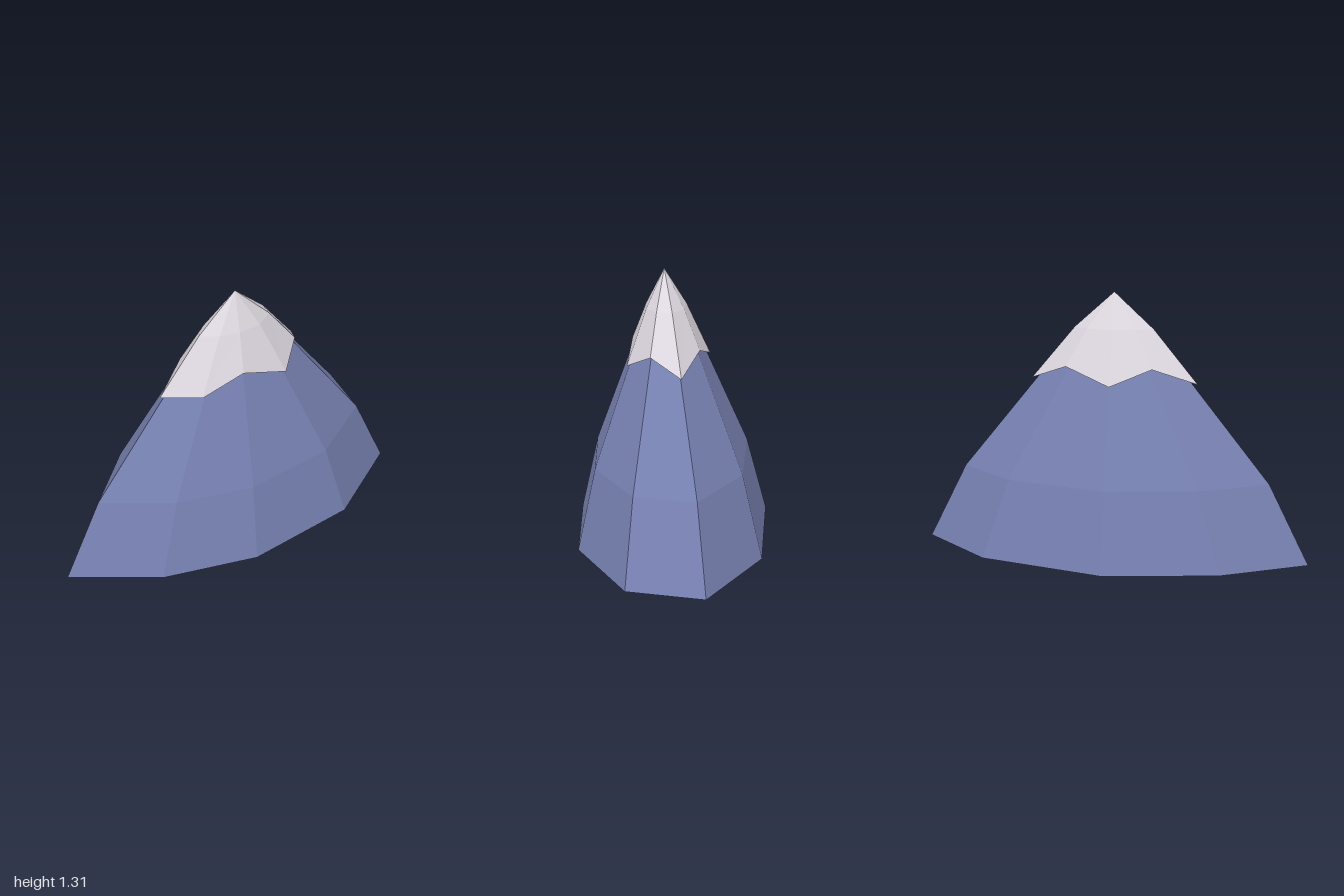
import * as THREE from 'three';

// Nine corners of the mountain foot as [x, z], from the right end round the front
const FOOT = [
  [-1, 0.02], [-0.62, 0.31], [-0.16, 0.48], [0.43, 0.48], [0.9, 0.25],
  [0.995, -0.115], [0.56, -0.405], [-0.1, -0.485], [-0.63, -0.29],
];
const PEAK = [0.022, 0.05];

// Ring of corners: the foot shrunk toward the peak axis by scale(i), at height(i)
function ring(scale, height) {
  return FOOT.map(([x, z], i) => new THREE.Vector3(
    PEAK[0] + (x - PEAK[0]) * scale(i), height(i), PEAK[1] + (z - PEAK[1]) * scale(i)));
}
const level = (scale, height) => ring(() => scale, () => height);

// Faceted skin over rings listed from bottom to top, closed by an apex
function skin(rings, apexHeight) {
  const apex = new THREE.Vector3(PEAK[0], apexHeight, PEAK[1]);
  const points = [];
  const n = FOOT.length;
  for (let i = 0; i < n; i++) {
    const j = (i + 1) % n;
    for (let r = 0; r + 1 < rings.length; r++) {
      const a = rings[r], b = rings[r + 1];
      points.push(a[i], a[j], b[j], a[i], b[j], b[i]);
    }
    const top = rings[rings.length - 1];
    points.push(top[i], top[j], apex);
  }
  const geometry = new THREE.BufferGeometry().setFromPoints(points);
  geometry.computeVertexNormals();
  return geometry;
}

export function createModel() {
  const rock = new THREE.MeshStandardMaterial({ color: 0x7680b0, flatShading: true, side: THREE.DoubleSide });
  rock.name = 'blue rock';
  const snow = new THREE.MeshStandardMaterial({ color: 0xdcd6de, flatShading: true, side: THREE.DoubleSide });
  snow.name = 'snow';

  const group = new THREE.Group();
  group.name = 'mountain';

  // Hollow rock slopes, open underneath
  const slopes = new THREE.Mesh(skin([level(1, 0), level(0.8, 0.39), level(0.19, 1.125)], 1.295), rock);
  slopes.name = 'rockSlopes';

  // Snow cap with a zigzag lower edge, standing just proud of the rock
  const high = (i) => i > 0 && i % 2 === 0;
  const edge = ring((i) => (high(i) ? 0.368 : 0.433), (i) => (high(i) ? 0.945 : 0.865));
  const cap = new THREE.Mesh(skin([edge, level(0.206, 1.13)], 1.31), snow);
  cap.name = 'snowCap';

  group.add(slopes, cap);
  return group;
}
